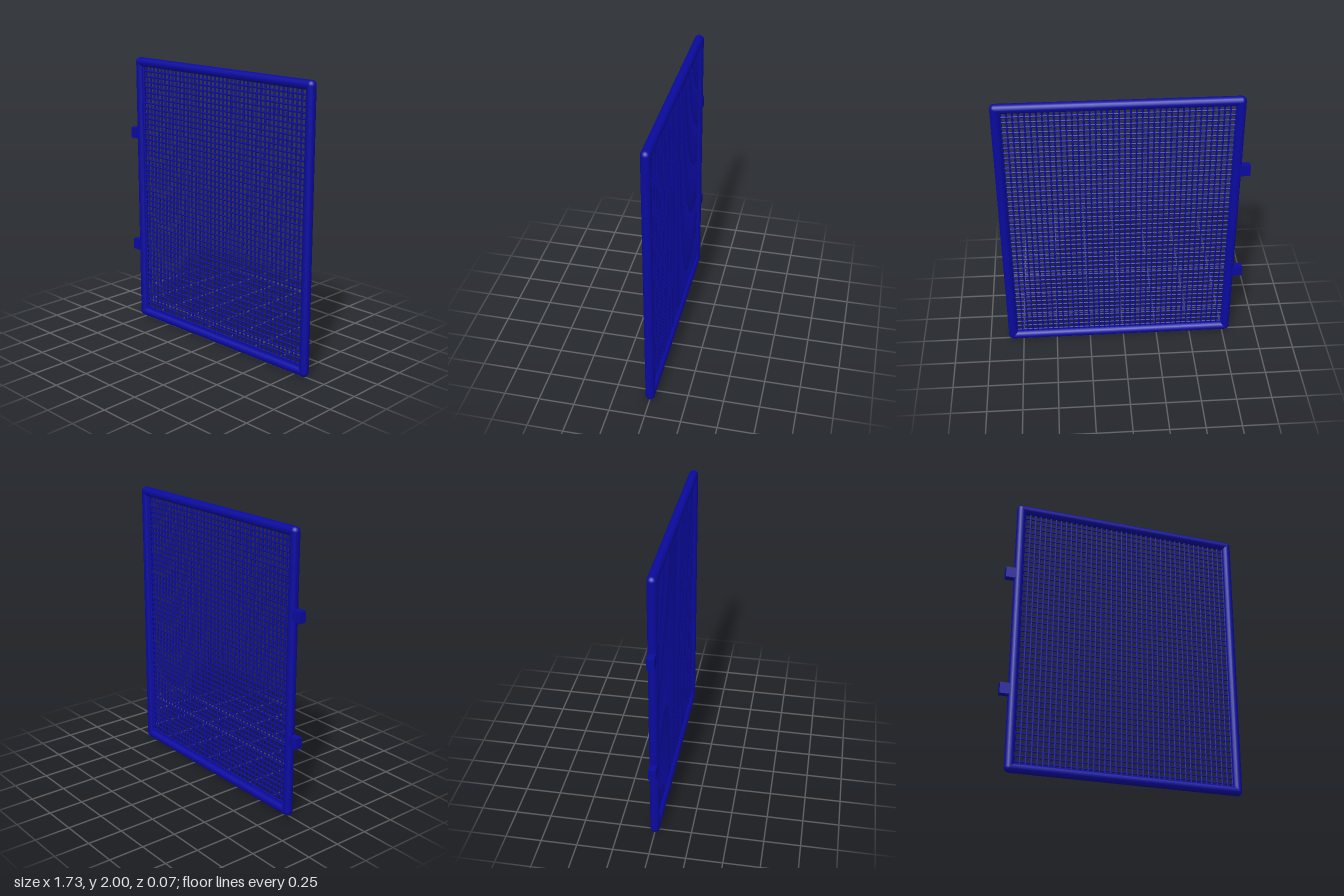
import * as THREE from 'three';
import { mergeGeometries } from 'three/addons/utils/BufferGeometryUtils.js';

export function createModel() {
  const model = new THREE.Group();
  const material = new THREE.MeshStandardMaterial({ color: 0x0a0aa0 });
  const add = (name, geometry) => {
    const mesh = new THREE.Mesh(geometry, material);
    mesh.name = name;
    model.add(mesh);
    return mesh;
  };

  // Round bar between two points in the z = 0 plane
  const bar = (x1, y1, x2, y2, radius, sides) => {
    const g = new THREE.CylinderGeometry(radius, radius, Math.hypot(x2 - x1, y2 - y1), sides);
    if (y1 === y2) g.rotateZ(Math.PI / 2);
    return g.translate((x1 + x2) / 2, (y1 + y2) / 2, 0);
  };

  // Tubular frame with rounded corners
  const r = 0.033;
  const left = 0.827, right = -0.772, bottom = r, top = 2 - r;
  add('frameTop', bar(right, top, left, top, r, 16));
  add('frameBottom', bar(right, bottom, left, bottom, r, 16));
  add('frameLeft', bar(left, bottom, left, top, r, 16));
  add('frameRight', bar(right, bottom, right, top, r, 16));
  for (const x of [left, right]) {
    for (const y of [bottom, top]) {
      add('frameCorner', new THREE.SphereGeometry(r, 16, 12).translate(x, y, 0));
    }
  }

  // Wire grid filling the frame
  const wireRadius = 0.007, columns = 40, rows = 48;
  const pitchX = 0.0384, pitchY = 0.0388;
  const upright = [], level = [];
  for (let i = 0; i <= columns; i++) {
    const x = -0.742 + i * pitchX;
    upright.push(bar(x, bottom, x, top, wireRadius, 8));
  }
  for (let j = 0; j <= rows; j++) {
    const y = 1.942 - j * pitchY;
    level.push(bar(right, y, left, y, wireRadius, 8));
  }
  add('verticalWires', mergeGeometries(upright));
  add('horizontalWires', mergeGeometries(level));

  // Hinge tabs on the right edge
  for (const y of [0.567, 1.435]) {
    add('hingeTab', new THREE.BoxGeometry(0.085, 0.078, 0.05)).position.set(-0.8225, y, 0);
  }
  return model;
}
